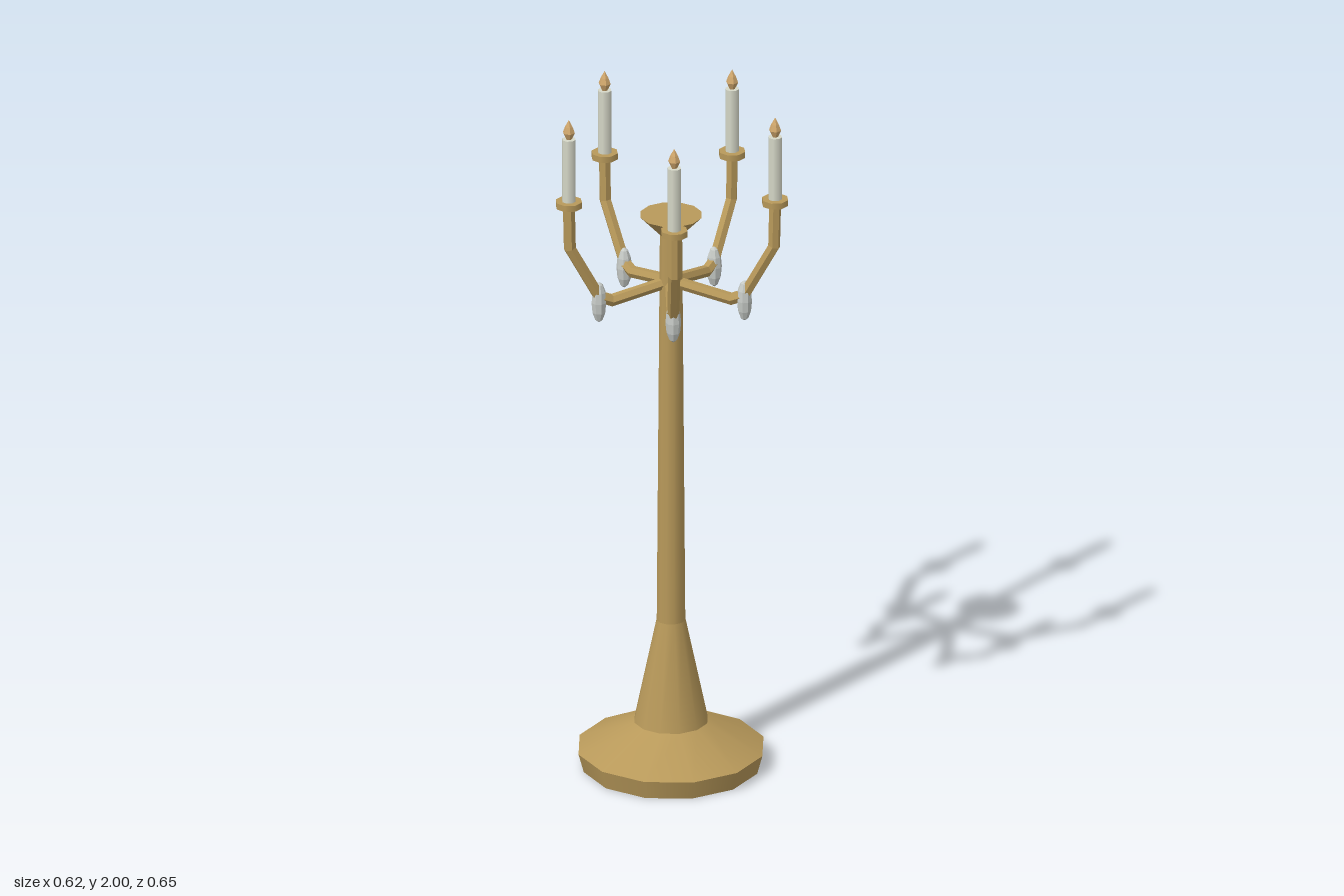
import * as THREE from 'three';

const brass = new THREE.MeshStandardMaterial({ name: 'brass', color: 0xb8995a });
const wax = new THREE.MeshStandardMaterial({ name: 'wax', color: 0xd6d8c8 });
const crystalGlass = new THREE.MeshStandardMaterial({ name: 'crystal glass', color: 0xc6cac6 });
const flameTan = new THREE.MeshStandardMaterial({ name: 'flame tan', color: 0xd0a76c });

function add(parent, name, geometry, material, x = 0, y = 0, z = 0) {
  const mesh = new THREE.Mesh(geometry, material);
  mesh.name = name;
  mesh.position.set(x, y, z);
  parent.add(mesh);
  return mesh;
}

// Give every face its own normal.
function faceted(geometry) {
  const flat = geometry.toNonIndexed();
  flat.computeVertexNormals();
  return flat;
}

// Six-sided bar with mitred bends, following a path in the XY plane.
function bentBar(path, radius) {
  const n = path.length - 1;
  const geometry = new THREE.CylinderGeometry(radius, radius, 1, 6, n);
  const pos = geometry.attributes.position;
  const points = path.map(([x, y]) => new THREE.Vector2(x, y));
  const dirs = points.slice(1).map((p, i) => p.clone().sub(points[i]).normalize());
  for (let i = 0; i < pos.count; i++) {
    const row = Math.round((pos.getY(i) + 0.5) * n);
    const a = dirs[Math.max(row - 1, 0)];
    const b = dirs[Math.min(row, n - 1)];
    const d = a.clone().add(b).normalize();
    const offset = pos.getX(i) / d.dot(a);
    pos.setXY(i, points[row].x + d.y * offset, points[row].y - d.x * offset);
  }
  return faceted(geometry);
}

export function createModel() {
  const model = new THREE.Group();
  model.name = 'candelabra';
  const stand = new THREE.Group();
  stand.name = 'stand';
  stand.position.x = -0.03;
  model.add(stand);

  // Base, column and flared top: [name, lower y, upper y, lower radius, upper radius]
  const sections = [
    ['baseRim', 0, 0.055, 0.25, 0.265],
    ['baseSlope', 0.055, 0.135, 0.265, 0.105],
    ['columnFoot', 0.135, 0.44, 0.105, 0.041],
    ['column', 0.44, 1.61, 0.041, 0.032],
    ['flaredTop', 1.61, 1.668, 0.032, 0.088],
  ];
  for (const [name, y0, y1, r0, r1] of sections) {
    add(stand, name, new THREE.CylinderGeometry(r1, r0, y1 - y0, 12), brass, 0, (y0 + y1) / 2, 0);
  }

  // Shared shapes for the five branches
  const reach = 0.302;
  const armShape = bentBar(
    [[0, 1.468], [0.175, 1.434], [0.212, 1.45], [0.299, 1.61], [reach, 1.74]], 0.017);
  const crystalShape = faceted(new THREE.SphereGeometry(1, 8, 6).scale(0.022, 0.061, 0.022));
  const panShape = new THREE.CylinderGeometry(0.038, 0.038, 0.018, 8);
  const candleShape = new THREE.CylinderGeometry(0.0195, 0.0195, 0.19, 8);
  const flameProfile = [[0, 0], [0.008, 0], [0.0175, 0.02], [0.011, 0.038], [0, 0.058]]
    .map(([x, y]) => new THREE.Vector2(x, y));
  const flameShape = faceted(new THREE.LatheGeometry(flameProfile, 6).rotateY(Math.PI / 6));

  for (let i = 0; i < 5; i++) {
    const angle = i * Math.PI * 2 / 5;
    const branch = new THREE.Group();
    branch.name = 'branch' + (i + 1);
    stand.add(branch);
    add(branch, 'arm', armShape, brass).rotation.y = -angle;

    const c = Math.cos(angle), s = Math.sin(angle);
    add(branch, 'crystal', crystalShape, crystalGlass, c * 0.213, 1.434, s * 0.213).rotation.y = -angle;
    add(branch, 'dripPan', panShape, brass, c * reach, 1.745, s * reach);
    add(branch, 'candle', candleShape, wax, c * reach, 1.847, s * reach);
    add(branch, 'flame', flameShape, flameTan, c * reach, 1.942, s * reach);
  }
  return model;
}
